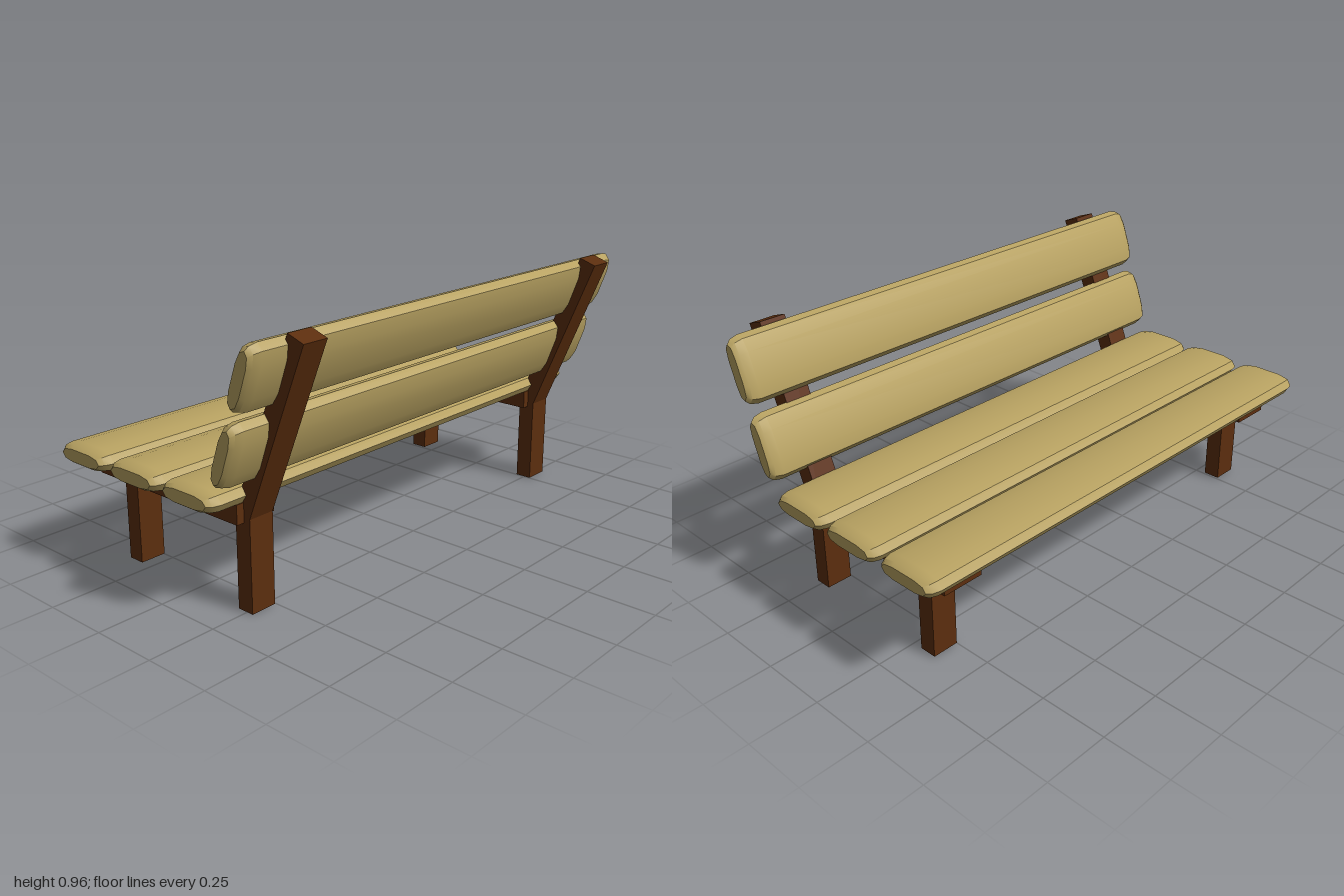
import * as THREE from 'three';
import { toCreasedNormals } from 'three/addons/utils/BufferGeometryUtils.js';

const slatWood = new THREE.MeshStandardMaterial({ color: 0xb9a362 });
const frameWood = new THREE.MeshStandardMaterial({ color: 0x5c2e0e });

// Pillow-edged plank: one cross-section lofted along z, shrinking at both ends
function slatGeometry() {
  const section = [
    [0.125, 0], [0.108, 0.027], [0.06, 0.038], [-0.06, 0.038], [-0.108, 0.027],
    [-0.125, 0], [-0.108, -0.027], [-0.06, -0.038], [0.06, -0.038], [0.108, -0.027],
  ];
  // z, width scale, thickness scale
  const end = [[1, 0.82, 0.6], [0.985, 0.94, 0.87], [0.955, 1, 1]];
  const rings = [...end.map(([z, w, t]) => [-z, w, t]), ...[...end].reverse()];
  const n = section.length;
  const pos = [], index = [];
  for (const [z, w, t] of rings) for (const [x, y] of section) pos.push(x * w, y * t, z);
  for (let i = 0; i < rings.length - 1; i++) {
    for (let j = 0; j < n; j++) {
      const a = i * n + j, b = i * n + (j + 1) % n;
      index.push(a, b, b + n, a, b + n, a + n);
    }
  }
  // End caps
  const last = (rings.length - 1) * n;
  for (let j = 1; j < n - 1; j++) {
    index.push(0, j + 1, j);
    index.push(last, last + j, last + j + 1);
  }
  const g = new THREE.BufferGeometry();
  g.setAttribute('position', new THREE.Float32BufferAttribute(pos, 3));
  g.setIndex(index);
  return toCreasedNormals(g, 0.7);
}

function box(name, x0, x1, y0, y1, depth) {
  const m = new THREE.Mesh(new THREE.BoxGeometry(x1 - x0, y1 - y0, depth), frameWood);
  m.position.set((x0 + x1) / 2, (y0 + y1) / 2, 0);
  m.name = name;
  return m;
}

// Back leg that bends into the leaning backrest post
function backPost() {
  const outline = [[0.211, 0], [0.276, 0], [0.276, 0.33], [0.525, 0.94], [0.46, 0.963], [0.211, 0.35]];
  const shape = new THREE.Shape(outline.map(([x, y]) => new THREE.Vector2(x, y)));
  const g = new THREE.ExtrudeGeometry(shape, { depth: 0.1, bevelEnabled: false });
  g.translate(0, 0, -0.05);
  const m = new THREE.Mesh(g, frameWood);
  m.name = 'backPost';
  return m;
}

export function createModel() {
  const bench = new THREE.Group();
  bench.name = 'bench';

  const geometry = slatGeometry();
  const addSlat = (name, x, y, angle, width = 1) => {
    const m = new THREE.Mesh(geometry, slatWood);
    m.name = name;
    m.position.set(x, y, 0);
    m.rotation.z = angle;
    m.scale.x = width;
    bench.add(m);
  };

  // Seat and backrest planks
  [-0.402, -0.13, 0.138].forEach((x, i) => addSlat(`seatSlat${i + 1}`, x, 0.409, 0));
  [[0.315, 0.584], [0.402, 0.841]].forEach(([x, y], i) =>
    addSlat(`backSlat${i + 1}`, x, y, THREE.MathUtils.degToRad(70), 0.96));

  // A leg frame near each end
  for (const side of [-1, 1]) {
    const frame = new THREE.Group();
    frame.name = side > 0 ? 'frontEndFrame' : 'rearEndFrame';
    frame.add(
      box('frontLeg', -0.357, -0.292, 0.004, 0.32, 0.1),
      box('seatRail', -0.455, 0.25, 0.313, 0.382, 0.16),
      backPost(),
    );
    frame.position.z = side * 0.803;
    bench.add(frame);
  }
  return bench;
}
